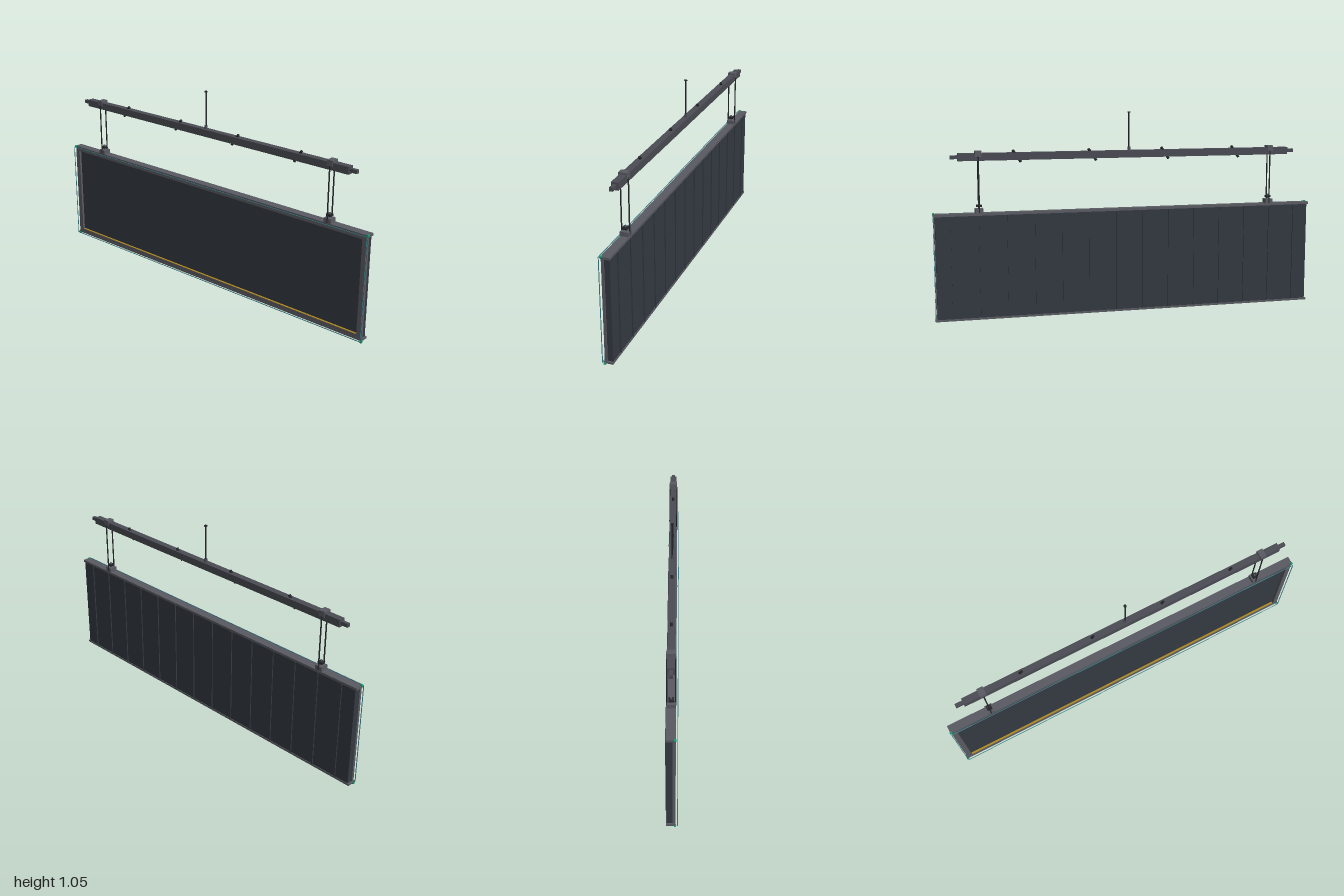
import * as THREE from 'three';

const mat = (color) => new THREE.MeshStandardMaterial({ color, flatShading: true });

export function createModel() {
  const root = new THREE.Group();
  const frameMat = mat(0x5a5b63), darkMat = mat(0x343a42), beamMat = mat(0x4b4c54);
  const cableMat = mat(0x25272b), goldMat = mat(0xb08a20), greenMat = mat(0x18a070), edgeMat = mat(0x3f7f88);
  const ZC = -0.002; // middle plane of sign and beam

  const group = (name, parent = root) => {
    const g = new THREE.Group();
    g.name = name;
    parent.add(g);
    return g;
  };
  const add = (parent, name, geo, m, x, y, z) => {
    const mesh = new THREE.Mesh(geo, m);
    mesh.name = name;
    mesh.position.set(x, y, z);
    parent.add(mesh);
    return mesh;
  };
  // box given by its minimum and maximum on each axis
  const box = (parent, name, m, x0, x1, y0, y1, z0, z1) =>
    add(parent, name, new THREE.BoxGeometry(x1 - x0, y1 - y0, z1 - z0), m,
      (x0 + x1) / 2, (y0 + y1) / 2, (z0 + z1) / 2);
  const rod = (parent, name, m, r, y0, y1, x, z, sides = 8) =>
    add(parent, name, new THREE.CylinderGeometry(r, r, y1 - y0, sides), m, x, (y0 + y1) / 2, z);

  // Sign: cabinet, face frame, end flanges
  const sign = group('sign');
  box(sign, 'cabinet', darkMat, -0.988, 0.988, 0.015, 0.545, -0.022, 0.006);
  box(sign, 'topRail', frameMat, -0.997, 0.997, 0.54, 0.552, -0.025, 0.019);
  box(sign, 'bottomRail', frameMat, -0.997, 0.997, 0.01, 0.02, -0.025, 0.019);

  const outline = new THREE.Shape()
    .moveTo(-0.993, 0.012).lineTo(0.993, 0.012).lineTo(0.993, 0.549).lineTo(-0.993, 0.549).closePath();
  outline.holes.push(new THREE.Path()
    .moveTo(-0.965, 0.036).lineTo(-0.965, 0.526).lineTo(0.965, 0.526).lineTo(0.965, 0.036).closePath());
  add(sign, 'faceFrame', new THREE.ExtrudeGeometry(outline, { depth: 0.013, bevelEnabled: false }),
    frameMat, 0, 0, 0.005);
  box(sign, 'lightStrip', goldMat, -0.96, 0.96, 0.035, 0.038, 0.007, 0.017);

  // Back battens
  for (let i = 0; i < 14; i++) {
    const x = -0.91 + i * 0.14;
    box(sign, 'backBatten', darkMat, x - 0.003, x + 0.003, 0.022, 0.54, -0.028, -0.02);
  }

  // Thin outline standing off the face, held by corner studs
  const edge = group('edgeOutline');
  for (const y of [0.01, 0.547])
    box(edge, 'edgeWire', edgeMat, -0.995, 0.995, y - 0.0015, y + 0.0015, 0.027, 0.03);
  for (const s of [-1, 1]) {
    box(edge, 'edgeWire', edgeMat, s * 0.995 - 0.0015, s * 0.995 + 0.0015, 0.01, 0.547, 0.027, 0.03);
    for (const y of [0.007, 0.549]) {
      const stud = add(edge, 'cornerStud', new THREE.CylinderGeometry(0.007, 0.007, 0.01, 8),
        greenMat, s * 0.993, y, 0.017);
      stud.rotation.x = Math.PI / 2;
    }
  }

  // Hanging beam with stub ends
  const beam = group('beam');
  box(beam, 'beamBar', beamMat, -0.87, 0.87, 0.813, 0.85, ZC - 0.017, ZC + 0.017);
  box(beam, 'beamCore', beamMat, -0.908, 0.908, 0.823, 0.841, ZC - 0.009, ZC + 0.009);
  for (let i = 0; i < 4; i++) {
    const pin = rod(beam, 'slantedPin', cableMat, 0.007, 0.796, 0.868, -0.578 + i * 0.385, ZC);
    pin.rotation.z = -0.6;
  }

  // Hangers: clamp, twin cables, foot bracket and cross pin
  for (const s of [-1, 1]) {
    const h = group(s > 0 ? 'leftHanger' : 'rightHanger');
    const x = s * 0.77;
    box(h, 'clamp', frameMat, x - 0.016, x + 0.016, 0.832, 0.861, ZC - 0.021, ZC + 0.021);
    box(h, 'footBracket', frameMat, x - 0.02, x + 0.02, 0.55, 0.574, ZC - 0.021, ZC + 0.021);
    rod(h, 'footBolt', frameMat, 0.005, 0.57, 0.6, x, ZC);
    box(h, 'crossPin', cableMat, x - 0.013, x + 0.013, 0.582, 0.592, ZC - 0.012, ZC + 0.012);
    for (const side of [-1, 1])
      rod(h, 'cable', cableMat, 0.0035, 0.553, 0.834, x, ZC + side * 0.0195);
  }

  // Centre suspension rod
  const drop = group('suspension');
  rod(drop, 'dropRod', cableMat, 0.004, 0.85, 1.045, 0, ZC);
  rod(drop, 'rodCollar', beamMat, 0.008, 0.848, 0.868, 0, ZC);
  rod(drop, 'rodCap', cableMat, 0.008, 1.041, 1.047, 0, ZC);

  return root;
}
